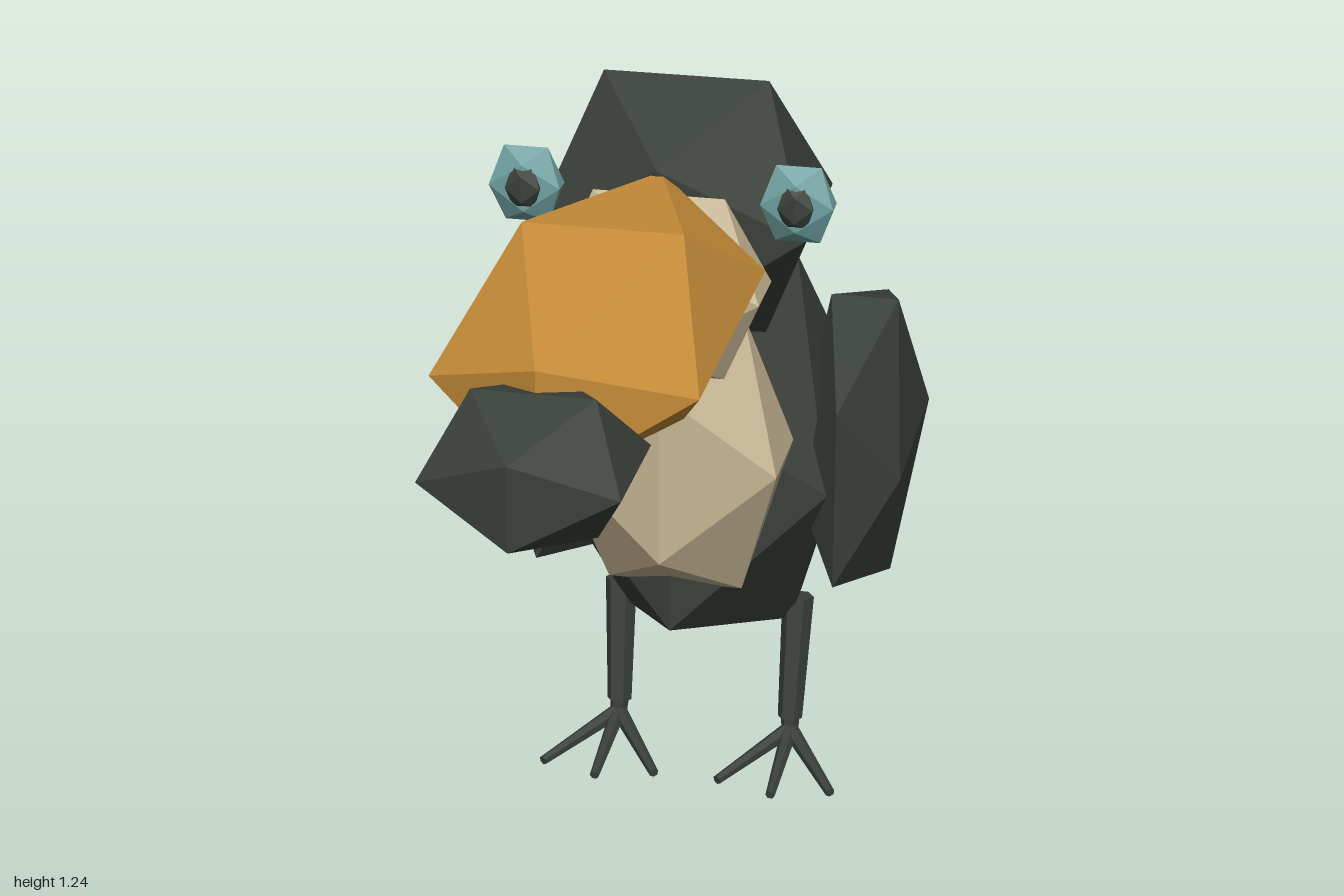
import * as THREE from 'three';

const material = (name, color) => {
  const m = new THREE.MeshStandardMaterial({ color, flatShading: true });
  m.name = name;
  return m;
};

export function createModel() {
  const bird = new THREE.Group();
  bird.name = 'bird';

  const plumage = material('dark plumage', 0x3a403a);
  const cream = material('cream', 0xc6b593);
  const orange = material('beak orange', 0xc98e3a);
  const teal = material('eye teal', 0x6fa0a0);

  // faceted lump: an icosahedron stretched to the given radii
  const lump = (name, mat, radii, pos) => {
    const mesh = new THREE.Mesh(new THREE.IcosahedronGeometry(1, 0).scale(...radii), mat);
    mesh.name = name;
    mesh.position.set(...pos);
    bird.add(mesh);
  };

  // six-sided tapered rod between two points
  const rod = (name, mat, from, to, r0, r1, start = Math.PI / 6) => {
    const a = new THREE.Vector3(...from);
    const b = new THREE.Vector3(...to);
    const dir = b.clone().sub(a);
    const geo = new THREE.CylinderGeometry(r1, r0, dir.length(), 6, 1, false, start);
    const mesh = new THREE.Mesh(geo, mat);
    mesh.name = name;
    mesh.position.copy(a).add(b).multiplyScalar(0.5);
    mesh.quaternion.setFromUnitVectors(new THREE.Vector3(0, 1, 0), dir.normalize());
    bird.add(mesh);
  };

  // body, head and pale front
  lump('body', plumage, [0.27, 0.388, 0.372], [0, 0.56, -0.264]);
  lump('head', plumage, [0.243, 0.241, 0.245], [0, 1.04, -0.07]);
  lump('breast', cream, [0.206, 0.277, 0.139], [0, 0.658, 0.01]);
  lump('throat', cream, [0.19, 0.17, 0.095], [0, 0.98, 0.123]);

  // beak
  lump('beak', orange, [0.217, 0.162, 0.438], [0, 1.068, 0.477]);
  lump('beakTip', plumage, [0.158, 0.115, 0.164], [0, 1.028, 0.86]);

  // tail
  rod('tail', plumage, [0, 0.45, -0.42], [0, 0.225, -0.976], 0.125, 0.07);

  for (const [side, s] of [['left', 1], ['right', -1]]) {
    // wings and eyes
    lump(side + 'Wing', plumage, [0.105, 0.288, 0.312], [s * 0.245, 0.56, -0.315]);
    lump(side + 'Eye', teal, [0.064, 0.069, 0.03], [s * 0.206, 1.119, 0.105]);
    lump(side + 'Pupil', plumage, [0.031, 0.039, 0.02], [s * 0.206, 1.12, 0.123]);

    // leg with three forward toes
    rod(side + 'Leg', plumage, [s * 0.149, 0.06, -0.225], [s * 0.153, 0.275, -0.262], 0.021, 0.027);
    rod(side + 'Ankle', plumage, [s * 0.15, 0.035, -0.222], [s * 0.149, 0.066, -0.226], 0.014, 0.017);
    for (const spread of [-0.57, 0, 0.57]) {
      const tip = [s * 0.15 + 0.178 * Math.sin(spread), 0.013, -0.22 + 0.178 * Math.cos(spread)];
      rod(side + 'Toe', plumage, [s * 0.15, 0.038, -0.222], tip, 0.014, 0.008);
    }
  }
  return bird;
}
